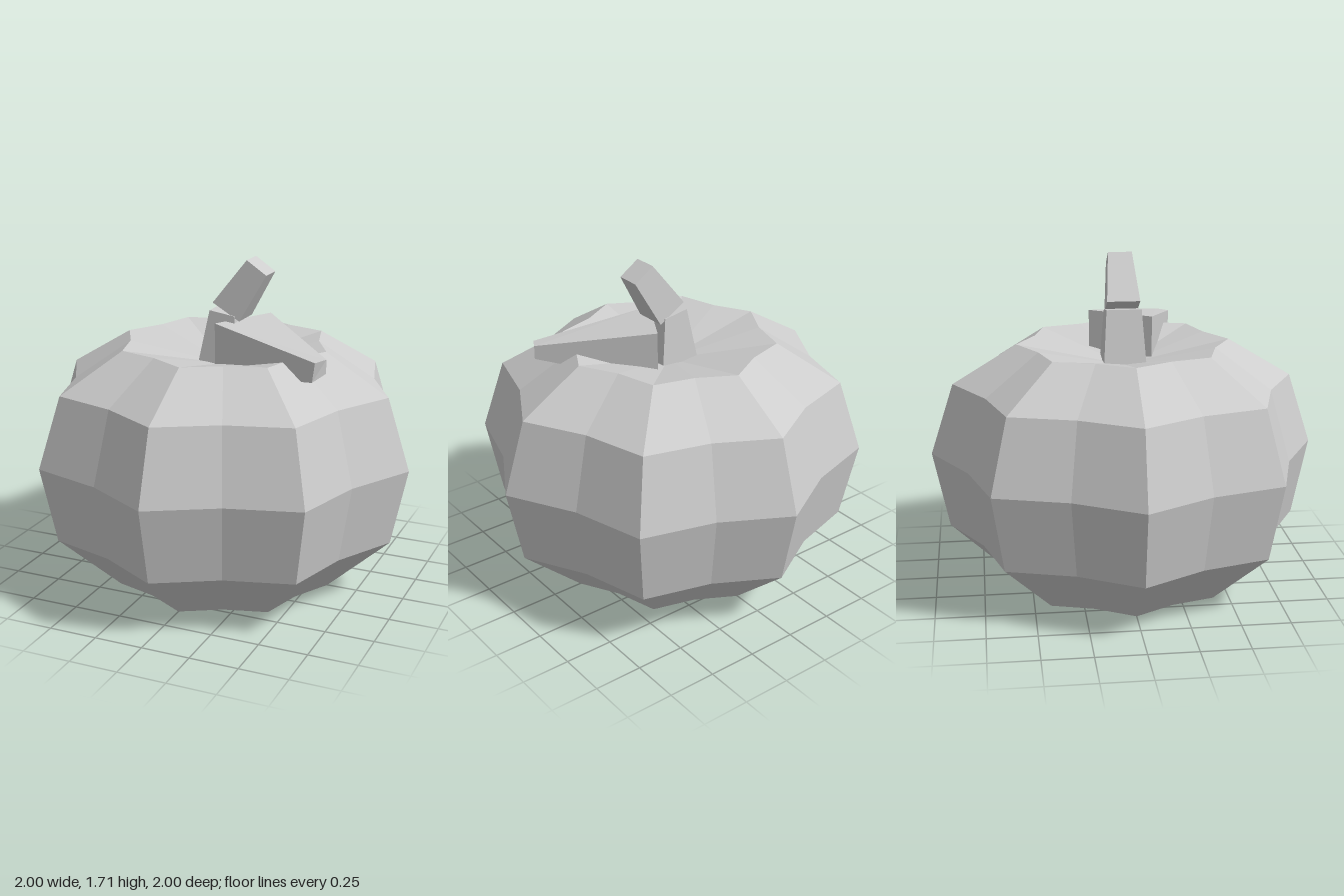
import * as THREE from 'three';

// Box whose eight corners are moved: bottom four then top four,
// each in the order (-x,-z), (+x,-z), (-x,+z), (+x,+z)
function cornerBox(name, corners, material) {
  const geometry = new THREE.BoxGeometry(2, 2, 2);
  const p = geometry.attributes.position;
  for (let i = 0; i < p.count; i++) {
    const k = (p.getY(i) > 0 ? 4 : 0) + (p.getZ(i) > 0 ? 2 : 0) + (p.getX(i) > 0 ? 1 : 0);
    p.setXYZ(i, ...corners[k]);
  }
  geometry.computeVertexNormals();
  const mesh = new THREE.Mesh(geometry, material);
  mesh.name = name;
  return mesh;
}

// Stem piece symmetric in z: left and right [x, y] at each end, half depth at each end
function stemPiece(name, bottom, bottomHalf, top, topHalf, material) {
  const end = ([l, r], h) => [[...l, -h], [...r, -h], [...l, h], [...r, h]];
  return cornerBox(name, [...end(bottom, bottomHalf), ...end(top, topHalf)], material);
}

export function createModel() {
  const group = new THREE.Group();
  const gray = new THREE.MeshStandardMaterial({ color: 0xcccccc, flatShading: true });
  gray.name = 'light gray';

  // Ribbed body: eight ridges with valleys between, dimpled at both poles
  const profile = [[0, 0.14], [0.59, 0], [0.918, 0.3], [1, 0.7], [0.88, 1.07], [0.55, 1.27], [0, 1.15]]
    .map(([r, y]) => new THREE.Vector2(r, y));
  const bodyGeometry = new THREE.LatheGeometry(profile, 16);
  const p = bodyGeometry.attributes.position;
  for (let i = 0; i < p.count; i++) {
    const segment = Math.floor(i / profile.length);
    if (segment % 2) p.setXYZ(i, p.getX(i) * 0.88, p.getY(i), p.getZ(i) * 0.88);
  }
  bodyGeometry.computeVertexNormals();
  const body = new THREE.Mesh(bodyGeometry, gray);
  body.name = 'body';
  group.add(body);

  // Stem: short tapered base and a leaning upper part
  group.add(stemPiece('stemBase', [[-0.105, 1.15], [0.12, 1.15]], 0.11,
    [[-0.045, 1.445], [0.09, 1.425]], 0.09, gray));
  group.add(stemPiece('stemTop', [[-0.03, 1.485], [0.115, 1.4]], 0.085,
    [[0.145, 1.71], [0.25, 1.64]], 0.062, gray));

  // Tapered side shoot lying across the top
  group.add(cornerBox('sideShoot', [
    [0.19, 1.13, -0.16], [0.64, 1.235, 0.26], [0.01, 1.13, 0.15], [0.59, 1.2, 0.32],
    [0.19, 1.4, -0.16], [0.64, 1.305, 0.26], [0.01, 1.395, 0.15], [0.605, 1.3, 0.325],
  ], gray));

  return group;
}
